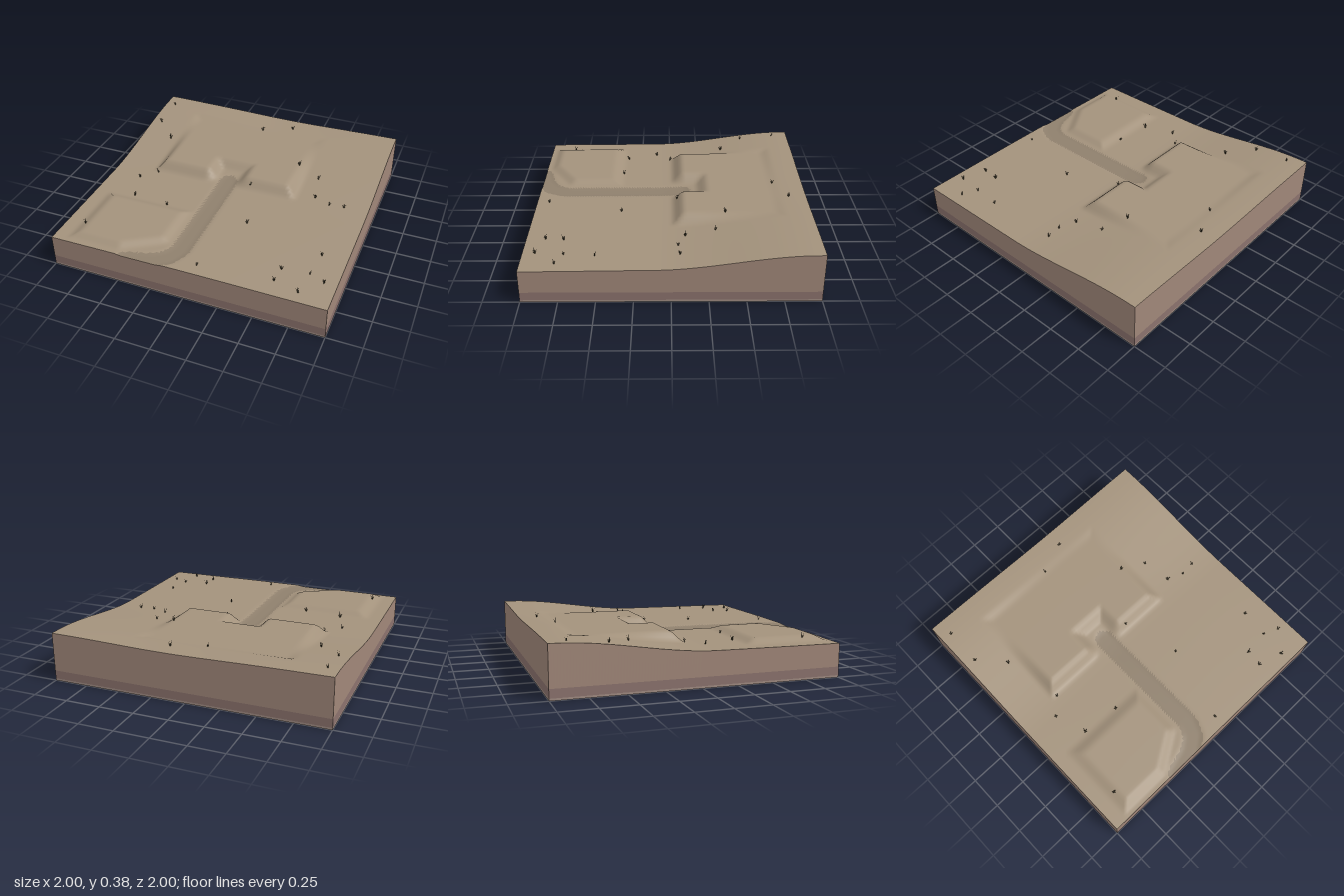
import * as THREE from 'three';
import { mergeGeometries } from 'three/addons/utils/BufferGeometryUtils.js';

const clamp = (v) => Math.min(1, Math.max(0, v));
const smooth = (t) => { t = clamp(t); return t * t * (3 - 2 * t); };

// 1 inside a rectangle, ramping to 0 over the given margins (left, right, back, front)
const plateau = (x, z, x0, x1, z0, z1, m) => Math.min(
  clamp((x - x0) / m[0]), clamp((x1 - x) / m[1]),
  clamp((z - z0) / m[2]), clamp((z1 - z) / m[3]));

// Distance to the centre line of the trail
const TRAIL = [[-0.1, -0.08], [-0.1, 0.8], [-0.14, 0.9], [-0.24, 0.97], [-0.42, 1.02]];
function trailDistance(x, z) {
  let best = 9;
  for (let i = 0; i + 1 < TRAIL.length; i++) {
    const [ax, az] = TRAIL[i], [bx, bz] = TRAIL[i + 1];
    const dx = bx - ax, dz = bz - az;
    const t = clamp(((x - ax) * dx + (z - az) * dz) / (dx * dx + dz * dz));
    best = Math.min(best, Math.hypot(x - ax - t * dx, z - az - t * dz));
  }
  return best;
}

// Ground height: hill, then two levelled terraces, a notch and a sunken trail
function height(x, z) {
  const dip = 0.012 * Math.exp(-(((x - 0.15) / 0.5) ** 2));
  let y = 0.24 + 0.013 * (1 - z) / 2 + 0.003 * Math.sin(2.5 * x + 1.5 * z)
    + (0.1 - dip) * smooth((0.1 - z) / 1.05);
  y -= 0.008 * smooth((0.09 - trailDistance(x, z)) / 0.05);

  const notch = plateau(x, z, -0.28, 0.06, -0.29, 0.3, [0.1, 0.1, 0.1, 0.1]);
  const upper = plateau(x, z, -0.7, 0.46, -0.82, -0.005, [0.09, 0.1, 0.09, 0.1]);
  y += (0.325 - y) * smooth(upper) * (1 - smooth(notch));

  const corner = clamp((1.28 - (x + 0.6) * 0.62 - z - 0.24) / 0.1);
  const lower = plateau(x, z, -0.9, -0.19, 0.36, 0.97, [0.1, 0.08, 0.1, 0.08]);
  y += (0.275 - y) * smooth(Math.min(lower, corner));
  return y;
}

// Four upright walls between two height rules
function walls(low, high, n = 80) {
  const corners = [[-1, 1], [1, 1], [1, -1], [-1, -1]];
  const pos = [], index = [];
  corners.forEach(([ax, az], s) => {
    const [bx, bz] = corners[(s + 1) % 4];
    const start = pos.length / 3;
    for (let i = 0; i <= n; i++) {
      const x = ax + (bx - ax) * i / n, z = az + (bz - az) * i / n;
      pos.push(x, low(x, z), z, x, high(x, z), z);
      if (i < n) {
        const a = start + i * 2;
        index.push(a, a + 2, a + 3, a, a + 3, a + 1);
      }
    }
  });
  const g = new THREE.BufferGeometry();
  g.setAttribute('position', new THREE.Float32BufferAttribute(pos, 3));
  g.setIndex(index);
  g.computeVertexNormals();
  return g;
}

// Ground surface, with the trail faces in a second material group
function groundGeometry(n) {
  const g = new THREE.PlaneGeometry(2, 2, n, n).rotateX(-Math.PI / 2);
  const p = g.attributes.position;
  for (let i = 0; i < p.count; i++) p.setY(i, height(p.getX(i), p.getZ(i)));
  const idx = g.index.array, soil = [], trail = [];
  for (let i = 0; i < idx.length; i += 3) {
    const f = [idx[i], idx[i + 1], idx[i + 2]];
    const x = (p.getX(f[0]) + p.getX(f[1]) + p.getX(f[2])) / 3;
    const z = (p.getZ(f[0]) + p.getZ(f[1]) + p.getZ(f[2])) / 3;
    (trailDistance(x, z) < 0.07 ? trail : soil).push(...f);
  }
  g.setIndex(soil.concat(trail));
  g.addGroup(0, soil.length, 0);
  g.addGroup(soil.length, trail.length, 1);
  g.computeVertexNormals();
  return g;
}

// Grass tuft: thin pointed blades fanned round a centre
function tuftGeometry() {
  const blades = [];
  for (let i = 0; i < 5; i++) {
    const tall = i % 2 ? 0.026 : 0.036;
    const blade = new THREE.BufferGeometry();
    blade.setAttribute('position', new THREE.Float32BufferAttribute(
      [-0.004, -0.004, 0, 0.004, -0.004, 0, 0, tall, 0.004 + 0.012 * (i > 0)], 3));
    blade.computeVertexNormals();
    blades.push(blade.rotateY(i * Math.PI * 0.4));
  }
  return mergeGeometries(blades);
}

const TUFTS = [
  [-0.92, -0.87], [-0.92, -0.6], [-0.755, -0.425], [-0.07, -0.775], [0.16, -0.87],
  [-0.66, 0], [-0.765, 0.11], [-0.69, 0.34], [-0.41, 0.37], [-0.84, 0.8],
  [0.07, 0.91], [0.22, 0.36], [0.37, -0.39], [0.55, -0.31], [0.59, -0.1],
  [0.71, -0.05], [0.82, -0.06], [0.61, 0.74], [0.82, 0.51], [0.6, 0.865],
  [0.8, 0.72], [0.91, 0.77], [0.78, 0.915], [0.09, -0.05],
];

export function createModel() {
  const model = new THREE.Group();
  const mat = (color, side = THREE.FrontSide) => new THREE.MeshStandardMaterial({ color, side });
  const add = (name, geometry, material) => {
    const mesh = new THREE.Mesh(geometry, material);
    mesh.name = name;
    model.add(mesh);
    return mesh;
  };

  add('ground', groundGeometry(100), [mat(0xa3927c), mat(0x8f806d)]);

  // Earth layers, from the top down
  add('upperEarthLayer', walls(() => 0.075, height, 100), mat(0xa08779));
  add('lowerEarthLayer', walls(() => 0.015, () => 0.075, 1), mat(0x8b726d));
  add('baseLayer', walls(() => 0, () => 0.015, 1), mat(0xa08c82));
  add('underside', new THREE.PlaneGeometry(2, 2).rotateX(Math.PI / 2), mat(0x5c554c));

  // Scattered grass
  const tuft = tuftGeometry();
  const grassMat = mat(0x4b4632, THREE.DoubleSide);
  TUFTS.forEach(([x, z], i) => {
    const mesh = add('grassTuft', tuft, grassMat);
    mesh.position.set(x, height(x, z), z);
    mesh.rotation.y = i * 2.4;
    mesh.scale.setScalar(0.85 + 0.3 * ((i * 7) % 5) / 4);
  });
  return model;
}
